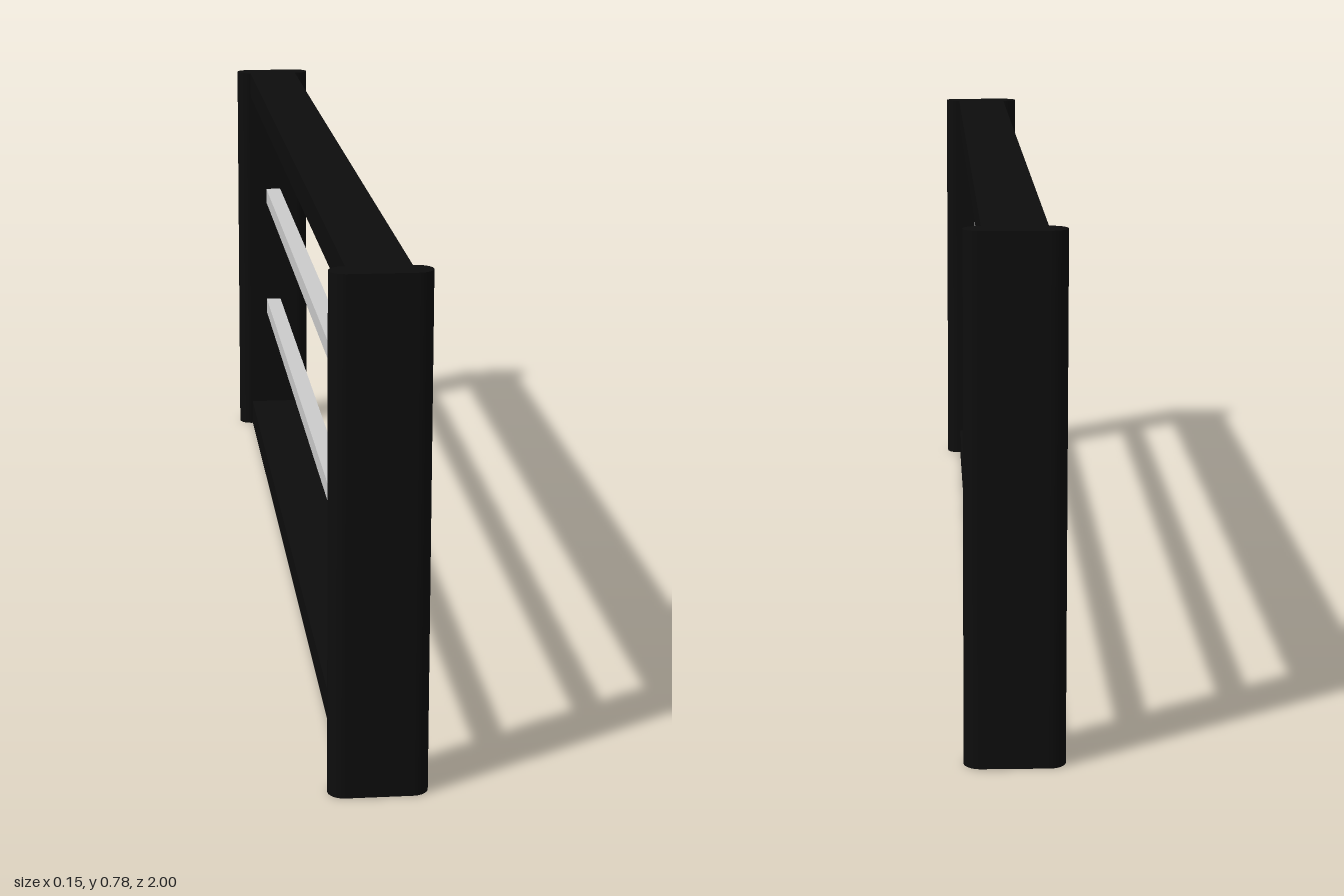
import * as THREE from 'three';

const HEIGHT = 0.78, LENGTH = 2, THICK = 0.05;
const POST_W = 0.148, RAIL_W = 0.095, BAR = 0.03;

export function createModel() {
  const group = new THREE.Group();
  const black = new THREE.MeshStandardMaterial({ color: 0x0d0d0d });
  const grey = new THREE.MeshStandardMaterial({ color: 0xcccccc });
  const inner = LENGTH - 2 * THICK;

  const add = (name, geometry, material, y, z) => {
    const mesh = new THREE.Mesh(geometry, material);
    mesh.name = name;
    mesh.position.set(0, y, z);
    group.add(mesh);
  };

  // Upright posts: flat bars with rounded long edges
  const r = THICK / 2, flat = POST_W / 2 - r;
  const outline = new THREE.Shape();
  outline.absarc(flat, 0, r, -Math.PI / 2, Math.PI / 2);
  outline.absarc(-flat, 0, r, Math.PI / 2, Math.PI * 1.5);
  outline.closePath();
  const postGeometry = new THREE.ExtrudeGeometry(outline, {
    depth: HEIGHT, bevelEnabled: false, curveSegments: 16,
  });
  postGeometry.rotateX(-Math.PI / 2);
  add('frontPost', postGeometry, black, 0, LENGTH / 2 - r);
  add('backPost', postGeometry, black, 0, -LENGTH / 2 + r);

  // Top and bottom rails between the posts
  const railGeometry = new THREE.BoxGeometry(RAIL_W, THICK, inner);
  add('bottomRail', railGeometry, black, THICK / 2, 0);
  add('topRail', railGeometry, black, HEIGHT - THICK / 2, 0);

  // Two slim square crossbars
  const barGeometry = new THREE.BoxGeometry(BAR, BAR, inner);
  add('lowerBar', barGeometry, grey, 0.268, 0);
  add('upperBar', barGeometry, grey, 0.513, 0);

  return group;
}
